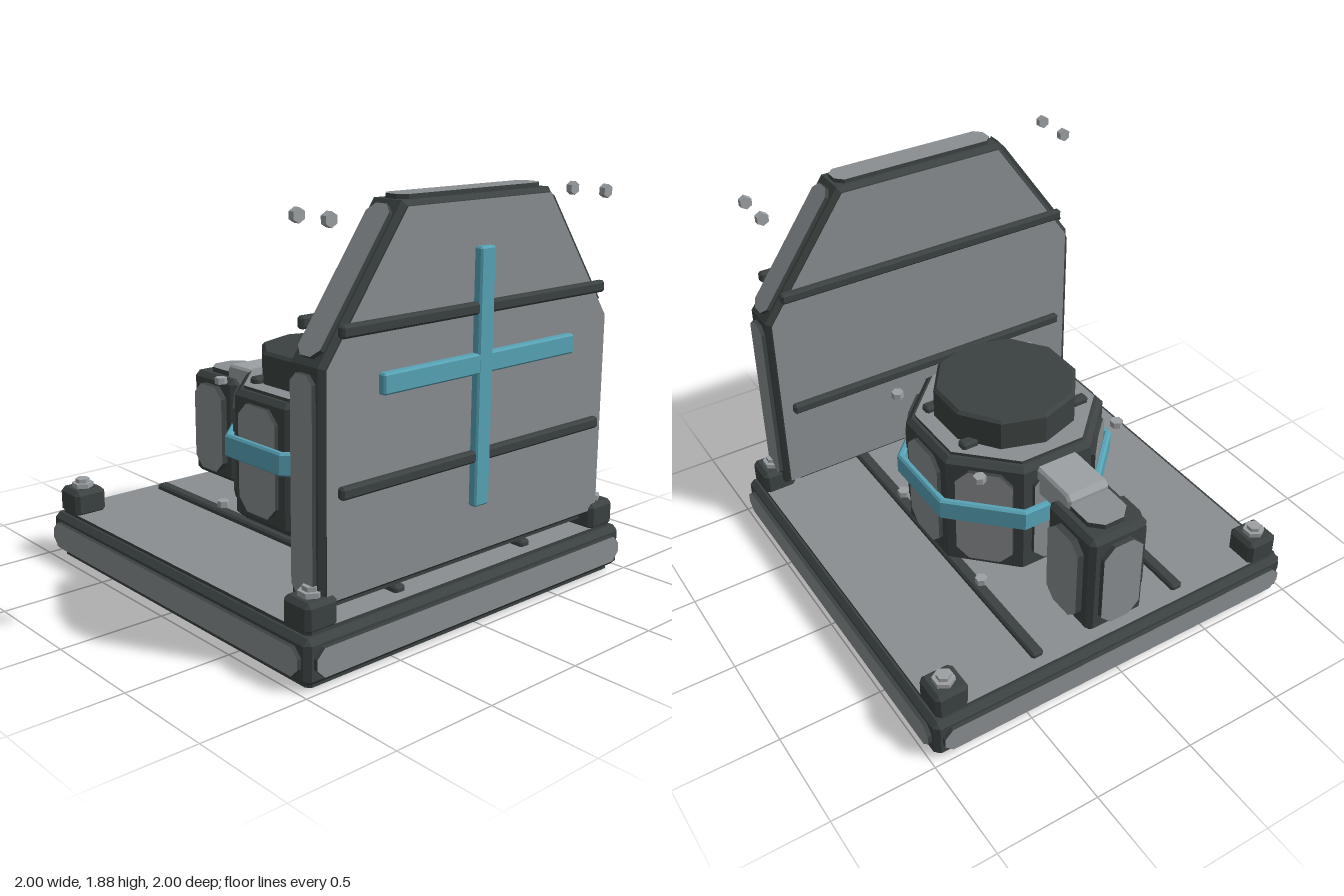
import * as THREE from 'three';
import { ConvexGeometry } from 'three/addons/geometries/ConvexGeometry.js';

const material = (name, color) => {
  const m = new THREE.MeshStandardMaterial({ color });
  m.name = name;
  return m;
};

export function createModel() {
  const panelGrey = material('panelGrey', 0x8a8e91);
  const frameDark = material('frameDark', 0x3b4241);
  const accentBlue = material('accentBlue', 0x57a3b6);
  const steel = material('steel', 0x9ca0a3);

  const model = new THREE.Group();
  model.name = 'machine';
  const section = (name) => {
    const g = new THREE.Group();
    g.name = name;
    model.add(g);
    return g;
  };
  const add = (parent, name, geo, mat, pos = [0, 0, 0], rot = [0, 0, 0]) => {
    const mesh = new THREE.Mesh(geo, mat);
    mesh.name = name;
    mesh.position.set(...pos);
    mesh.rotation.set(...rot, 'ZYX');
    parent.add(mesh);
    return mesh;
  };

  // Box with chamfered edges
  const chamferBox = (w, h, d, c) => {
    const pts = [];
    for (const x of [-w / 2, w / 2]) for (const y of [-h / 2, h / 2]) for (const z of [-d / 2, d / 2]) {
      const [a, b, e] = [x, y, z].map((v) => v - Math.sign(v) * c);
      pts.push(new THREE.Vector3(x, b, e), new THREE.Vector3(a, y, e), new THREE.Vector3(a, b, z));
    }
    return new ConvexGeometry(pts);
  };
  // Flat-sided cylinder
  const prism = (r, h, n, r2 = r) => {
    const g = new THREE.CylinderGeometry(r2, r, h, n).toNonIndexed();
    g.computeVertexNormals();
    return g;
  };
  const shapeOf = (pts) => new THREE.Shape(pts.map(([x, y]) => new THREE.Vector2(x, y)));
  const extrude = (shape, depth, bevel = 0) => {
    const g = new THREE.ExtrudeGeometry(shape, {
      depth: depth - 2 * bevel, bevelEnabled: bevel > 0, bevelSize: bevel,
      bevelThickness: bevel, bevelOffset: -bevel, bevelSegments: 1,
    });
    return g.translate(0, 0, bevel);
  };
  // Raised plate with cut corners: grey face, dark rim
  const plate = (parent, name, w, h, c, pos, rot, t = 0.022) => {
    const x = w / 2, y = h / 2;
    const s = shapeOf([[x - c, -y], [x, c - y], [x, y - c], [x - c, y], [c - x, y], [-x, y - c], [-x, c - y], [c - x, -y]]);
    return add(parent, name, extrude(s, t), [panelGrey, frameDark], pos, rot);
  };
  const Q = Math.PI / 2;
  const octagon = (apothem) => shapeOf([...Array(8).keys()].map((i) => {
    const a = (i + 0.5) * Math.PI / 4, r = apothem / Math.cos(Math.PI / 8);
    return [r * Math.cos(a), r * Math.sin(a)];
  }));

  // Base slab with plates on all six faces
  const base = section('base');
  add(base, 'baseFrame', chamferBox(1.96, 0.2, 1.96, 0.025), frameDark, [0, 0.12, 0]);
  for (let i = 0; i < 4; i++) {
    const a = i * Q;
    plate(base, 'baseSidePlate', 1.89, 0.125, 0.04, [0.978 * Math.sin(a), 0.12, 0.978 * Math.cos(a)], [0, a, 0]);
  }
  plate(base, 'baseTopPlate', 1.89, 1.89, 0.02, [0, 0.213, 0], [-Q, 0, 0]);
  plate(base, 'baseBottomPlate', 1.89, 1.89, 0.02, [0, 0.022, 0], [Q, 0, 0]);
  for (const s of [-1, 1]) {
    add(base, 'floorRail', chamferBox(0.06, 0.04, 1.78, 0.01), frameDark, [s * 0.395, 0.242, 0]);
    for (const z of [-0.87, 0.87]) {
      add(base, 'cornerBlock', chamferBox(0.165, 0.13, 0.165, 0.02), frameDark, [s * 0.87, 0.287, z]);
      add(base, 'cornerBolt', prism(0.052, 0.025, 6), steel, [s * 0.87, 0.362, z]);
      add(base, 'cornerBoltHead', prism(0.034, 0.02, 6), steel, [s * 0.87, 0.384, z]);
    }
  }

  // Upright front shield with cut upper corners
  const shield = section('frontShield');
  const outline = (i) => shapeOf([[-0.86 + i, 0.3 + i], [0.86 - i, 0.3 + i], [0.86 - i, 1.265 - i * 0.3],
    [0.435 - i * 0.5, 1.862 - i], [-0.435 + i * 0.5, 1.862 - i], [-0.86 + i, 1.265 - i * 0.3]]);
  add(shield, 'shieldFrame', extrude(outline(0), 0.195, 0.02), frameDark, [0, 0, 0.73]);
  add(shield, 'shieldFaces', extrude(outline(0.022), 0.209), [panelGrey, frameDark], [0, 0, 0.723]);
  plate(shield, 'shieldTopPlate', 0.84, 0.13, 0.035, [0, 1.86, 0.83], [-Q, 0, 0]);
  plate(shield, 'shieldBottomPlate', 1.6, 0.13, 0.035, [0, 0.302, 0.83], [Q, 0, 0]);
  const slope = Math.atan2(0.425, 0.597);
  for (const s of [-1, 1]) {
    plate(shield, 'shieldSidePlate', 0.13, 0.9, 0.035, [s * 0.858, 0.785, 0.83], [0, s * Q, 0]);
    plate(shield, 'shieldSlopePlate', 0.13, 0.67, 0.035, [s * 0.646, 1.5625, 0.83], [0, s * Q, s * slope]);
    for (const z of [0.735, 0.92]) {
      add(shield, 'shieldBolt', prism(0.031, 0.03, 6), steel, [s * 0.815, 1.82, z], [Q, 0, 0]);
    }
  }
  for (const y of [0.765, 1.4]) for (const z of [0.708, 0.947]) {
    add(shield, 'shieldRib', chamferBox(1.57, 0.052, 0.04, 0.01), frameDark, [0, y, z]);
  }
  add(shield, 'crossUpright', chamferBox(0.088, 1.11, 0.045, 0.008), accentBlue, [0, 1.098, 0.95]);
  add(shield, 'crossBar', chamferBox(1.15, 0.088, 0.043, 0.008), accentBlue, [0, 1.167, 0.95]);

  // Eight-sided drum
  const drum = section('drum');
  add(drum, 'drumFrame', extrude(octagon(0.44), 0.62, 0.025), frameDark, [0, 0.285, 0], [-Q, 0, 0]);
  add(drum, 'drumEndPlates', extrude(octagon(0.4), 0.65), [panelGrey, frameDark], [0, 0.27, 0], [-Q, 0, 0]);
  for (let i = 0; i < 8; i++) {
    const a = i * Math.PI / 4;
    plate(drum, 'drumSidePlate', 0.27, 0.52, 0.06, [0.438 * Math.sin(a), 0.6, 0.438 * Math.cos(a)], [0, a, 0]);
  }
  const ring = octagon(0.488);
  ring.holes.push(octagon(0.452));
  add(drum, 'drumBand', extrude(ring, 0.11, 0.01), accentBlue, [0, 0.583, 0], [-Q, 0, 0]);
  add(drum, 'drumCap', prism(0.345, 0.14, 10), frameDark, [0, 0.995, 0]);
  add(drum, 'drumCapBevel', prism(0.345, 0.015, 10, 0.33), frameDark, [0, 1.0725, 0]);
  for (const sx of [-1, 1]) for (const sz of [-1, 1]) {
    for (const y of [0.93, 0.262]) {
      add(drum, 'drumClip', chamferBox(0.085, 0.04, 0.055, 0.01), frameDark, [sx * 0.305, y, sz * 0.165]);
    }
    for (const y of [0.9, 0.28]) {
      add(drum, 'drumBolt', prism(0.03, 0.03, 6), steel, [sx * 0.377, y, sz * 0.377]);
    }
  }

  // Rear box, joined to the drum by a duct
  const rear = section('rearBox');
  add(rear, 'rearBoxFrame', chamferBox(0.31, 0.545, 0.345, 0.025), frameDark, [0, 0.546, -0.757]);
  for (const s of [-1, 1]) {
    plate(rear, 'rearBoxSidePlate', 0.23, 0.45, 0.055, [s * 0.153, 0.546, -0.757], [0, s * Q, 0], 0.035);
    plate(rear, 'rearBoxEndPlate', 0.21, 0.45, 0.055, [0, 0.546, -0.757 + s * 0.17], [0, s > 0 ? 0 : Math.PI, 0], 0.028);
  }
  plate(rear, 'rearBoxTopPlate', 0.21, 0.24, 0.055, [0, 0.816, -0.757], [-Q, 0, 0], 0.028);
  const duct = shapeOf([[-0.4, 0.74], [-0.6, 0.74], [-0.69, 0.82], [-0.69, 0.86], [-0.665, 0.885], [-0.4, 0.885]].reverse());
  add(rear, 'duct', extrude(duct, 0.22, 0.012), steel, [0.11, 0, 0], [0, -Q, 0]);

  return model;
}
